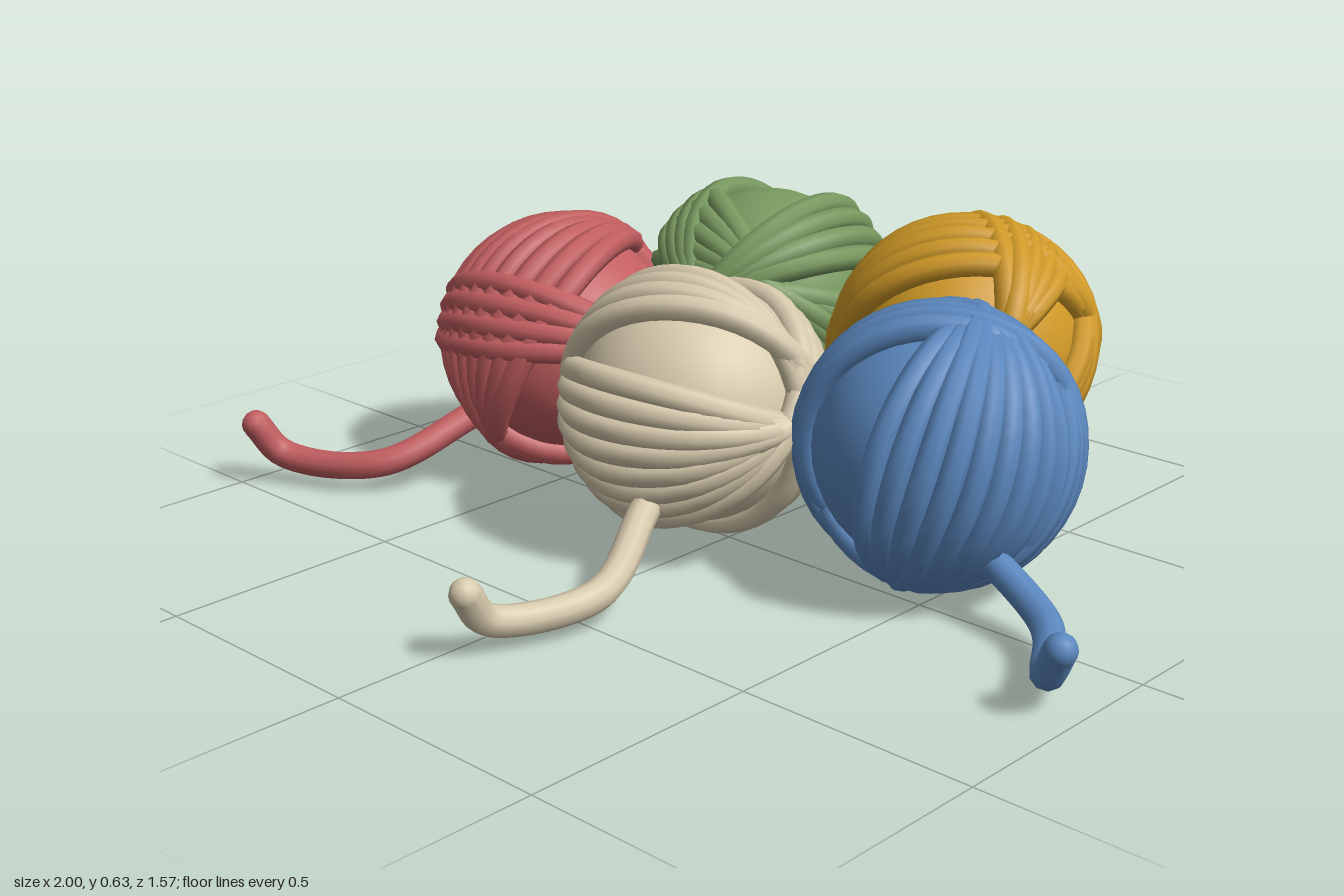
import * as THREE from 'three';

const CORE = 0.245, YARN = 0.027, TAIL = 0.031;
const STEP = THREE.MathUtils.degToRad(10.5);

// Closed loop of yarn lying on the ball, piled up where it meets its node
class Strand extends THREE.Curve {
  constructor(u, v, base, pile) {
    super();
    Object.assign(this, { u, v, base, pile });
  }
  getPoint(t, target = new THREE.Vector3()) {
    const a = t * Math.PI * 2;
    const r = this.base + this.pile * Math.cos(a) ** 6;
    return target.set(0, 0, 0)
      .addScaledVector(this.u, r * Math.cos(a))
      .addScaledVector(this.v, r * Math.sin(a));
  }
}

// Fan of loops sharing a node at lon/lat, rolled about it (degrees)
function addBand(ball, [lon, lat, roll, count], layer, material) {
  const [a, b, c] = [lon, lat, roll].map(THREE.MathUtils.degToRad);
  const node = new THREE.Vector3(Math.cos(b) * Math.cos(a), Math.sin(b), Math.cos(b) * Math.sin(a));
  const side = new THREE.Vector3(-Math.sin(a), 0, Math.cos(a));
  const up = side.clone().cross(node);
  const band = new THREE.Group();
  band.name = 'windingBand';
  for (let i = 0; i < count; i++) {
    const angle = c + (i - (count - 1) / 2) * STEP;
    const normal = up.clone().applyAxisAngle(node, angle);
    // small drift keeps the crossings from being perfectly stacked
    const u = node.clone().applyAxisAngle(normal, 0.16 * Math.sin(i * 2.4 + layer));
    const v = normal.clone().cross(u);
    const curve = new Strand(u, v, 0.254 + layer * 0.005, 0.004 * (i % 4));
    const strand = new THREE.Mesh(new THREE.TubeGeometry(curve, 44, YARN, 8, true), material);
    strand.name = 'yarnStrand';
    band.add(strand);
  }
  ball.add(band);
}

// Loose end on the floor: leaves the ball, bends, then lifts its rounded tip outward
function addTail(model, path, material) {
  const [start, bend, knee] = path.map(([x, z]) => new THREE.Vector3(x, 0.08, z));
  const lift = knee.clone().sub(start).setLength(0.055);
  lift.y = 0.07;
  const end = knee.clone().add(lift);
  start.y = 0.16;
  const curve = new THREE.CatmullRomCurve3([start, bend, knee, end]);
  const tail = new THREE.Group();
  tail.name = 'looseEnd';
  const yarn = new THREE.Mesh(new THREE.TubeGeometry(curve, 36, TAIL, 10), material);
  yarn.name = 'tailYarn';
  const tip = new THREE.Mesh(new THREE.SphereGeometry(TAIL, 12, 8), material);
  tip.name = 'tailTip';
  tip.position.copy(end);
  tail.add(yarn, tip);
  model.add(tail);
}

// Round core wrapped in bands
function addBall(model, colorName, color, position, bands) {
  const material = new THREE.MeshStandardMaterial({ color });
  material.name = `${colorName} yarn`;
  const ball = new THREE.Group();
  ball.name = `${colorName}Ball`;
  ball.position.set(...position);
  const core = new THREE.Mesh(new THREE.SphereGeometry(CORE, 32, 20), material);
  core.name = 'core';
  ball.add(core);
  bands.forEach((band, layer) => addBand(ball, band, layer, material));
  model.add(ball);
  return material;
}

export function createModel() {
  const model = new THREE.Group();
  model.name = 'yarnBalls';

  // Front balls, each with a loose end
  const red = addBall(model, 'red', 0xc25e60, [-0.575, 0.305, -0.085],
    [[-85, 42, 92, 8], [0, 7, -24, 4]]);
  addTail(model, [[-0.66, 0.1], [-0.73, 0.32], [-0.935, 0.43]], red);

  const cream = addBall(model, 'cream', 0xd8cbae, [-0.055, 0.31, 0.04],
    [[3, 2, 14, 8], [-7, 33, 108, 4]]);
  addTail(model, [[0.02, 0.26], [0.12, 0.49], [0.055, 0.7]], cream);

  const blue = addBall(model, 'blue', 0x5b88bf, [0.45, 0.3, -0.108],
    [[-60, 73, -8, 9], [-28, 34, 84, 5]]);
  addTail(model, [[0.6, -0.04], [0.8, 0.02], [0.925, 0.19]], blue);

  // Back balls
  addBall(model, 'green', 0x78985f, [-0.33, 0.365, -0.485],
    [[45, 18, -35, 6], [84, 12, -47, 4], [78, 14, 43, 4]]);
  addBall(model, 'gold', 0xd19a27, [0.207, 0.36, -0.505],
    [[-32, 18, 83, 9], [33, 20, 58, 5]]);

  return model;
}
